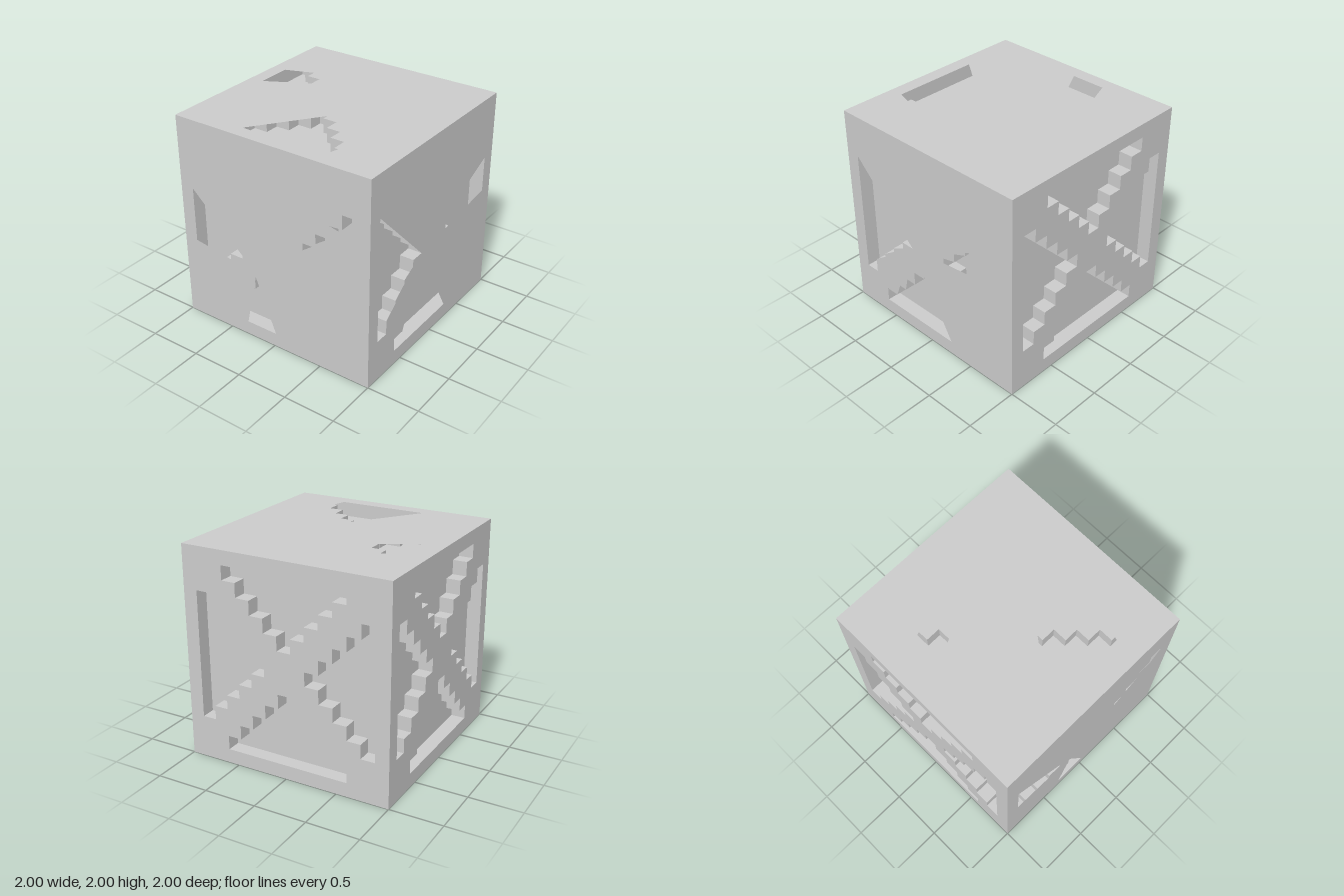
import * as THREE from 'three';

const C = 2 / 15; // one grid cell, also the frame width and the recess depth
const material = new THREE.MeshStandardMaterial({ color: 0xcccccc, flatShading: true });
const sheetMaterial = new THREE.MeshStandardMaterial({ color: 0xcccccc, flatShading: true, side: THREE.DoubleSide });

const toPath = (points) => new THREE.Path(points.map(([u, v]) => new THREE.Vector2(u, v)));

function square(holes) {
  const s = new THREE.Shape([[-1, -1], [1, -1], [1, 1], [-1, 1]].map(([u, v]) => new THREE.Vector2(u, v)));
  s.holes = holes.map(toPath);
  return s;
}

// Stepped triangle along one edge of a face, then turned to all four edges
function steppedTriangles() {
  const half = [];
  for (let i = 0; i < 5; i++) {
    const u = (4.5 - i) * C, v = (i - 6.5) * C;
    half.push([u, v], [u, v + C]);
  }
  const tri = [...half, ...half.slice().reverse().map(([u, v]) => [-u, v])];
  return [0, 1, 2, 3].map((k) => {
    const c = [1, 0, -1, 0][k], s = [0, 1, 0, -1][k];
    return tri.map(([u, v]) => [u * c - v * s, u * s + v * c]);
  });
}

// Openings left in the cover sheets, in each face's own plane
const frontOpenings = [
  [[-0.867, 0.6], [-0.867, -0.6], [-0.733, -0.6], [-0.733, -0.46], [-0.6, -0.365], [-0.6, -0.333], [-0.467, -0.24],
    [-0.467, -0.2], [-0.333, -0.135], [-0.333, -0.067], [-0.2, -0.067]],
  [[-0.6, -0.867], [0.255, -0.867], [-0.067, -0.3], [-0.068, -0.333], [-0.2, -0.333], [-0.2, -0.467],
    [-0.305, -0.467], [-0.335, -0.595], [-0.415, -0.595], [-0.467, -0.733], [-0.6, -0.733]],
  [[0.867, 0.41], [0.867, 0.07], [0.2, -0.015], [0.2, 0.035], [0.333, 0.07], [0.333, 0.15], [0.467, 0.205], [0.467, 0.235]],
];
const sideOpenings = [
  [[-0.867, 0.33], [-0.867, -0.2], [-0.467, -0.26], [-0.467, -0.2], [-0.333, -0.2], [-0.333, -0.17]],
  [[-0.19, -0.34], [-0.305, -0.867], [0.014, -0.867]],
  [[0.867, 0.6], [0.733, 0.6], [0.733, 0.467], [0.61, 0.46], [0.74, 0.43]],
  [[0.467, 0.333], [0.6, 0.333], [0.467, 0.24]],
  [[0.333, 0.2], [0.43, 0.2], [0.333, 0.13]],
];
const topOpenings = [
  [[-0.867, 0.37], [-0.867, -0.467], [-0.733, -0.505], [-0.733, -0.467], [-0.6, -0.467], [-0.6, -0.333],
    [-0.467, -0.333], [-0.467, -0.2], [-0.333, -0.2], [-0.333, -0.067], [-0.275, -0.067]],
  [[0, 0.867], [0.333, 0.867], [0.43, 0.6], [0.333, 0.6], [0.333, 0.467], [0.213, 0.467]],
];
const bottomOpenings = [
  [[0.6, -0.867], [0.6, -0.733], [0.467, -0.733], [-0.09, -0.5], [-0.2, -0.467], [-0.333, -0.467], [-0.333, -0.6],
    [-0.467, -0.6], [-0.467, -0.733], [-0.6, -0.733], [-0.6, -0.867]],
  [[-0.867, -0.6], [-0.733, -0.6], [-0.733, -0.467], [-0.6, -0.467], [-0.6, -0.34], [-0.867, -0.27]],
];

export function createModel() {
  const model = new THREE.Group();
  model.name = 'recessedCube';
  const add = (parent, name, geometry, mat = material) => {
    const mesh = new THREE.Mesh(geometry, mat);
    mesh.name = name;
    parent.add(mesh);
    return mesh;
  };

  // Inner block forms the floors of the recesses
  const inner = 2 - 2 * C;
  add(model, 'core', new THREE.BoxGeometry(inner, inner, inner)).position.y = 1;

  // Pierced panel on each face, some partly closed by a thin cover sheet
  const panel = new THREE.ExtrudeGeometry(square(steppedTriangles()), { depth: C, bevelEnabled: false });
  panel.translate(0, 0, 1 - C);
  const H = Math.PI / 2;
  const faces = [
    ['front', 0, 0, frontOpenings],
    ['back', 0, 2 * H, null],
    ['left', 0, H, null],
    ['right', 0, -H, sideOpenings],
    ['top', -H, 0, topOpenings],
    ['bottom', H, 0, bottomOpenings],
  ];
  for (const [name, rx, ry, openings] of faces) {
    const face = new THREE.Group();
    face.name = name + 'Face';
    face.position.y = 1;
    face.rotation.set(rx, ry, 0);
    add(face, name + 'Panel', panel);
    if (openings) {
      const cover = new THREE.ShapeGeometry(square(openings)).translate(0, 0, 1);
      add(face, name + 'Cover', cover, sheetMaterial);
    }
    model.add(face);
  }
  return model;
}
